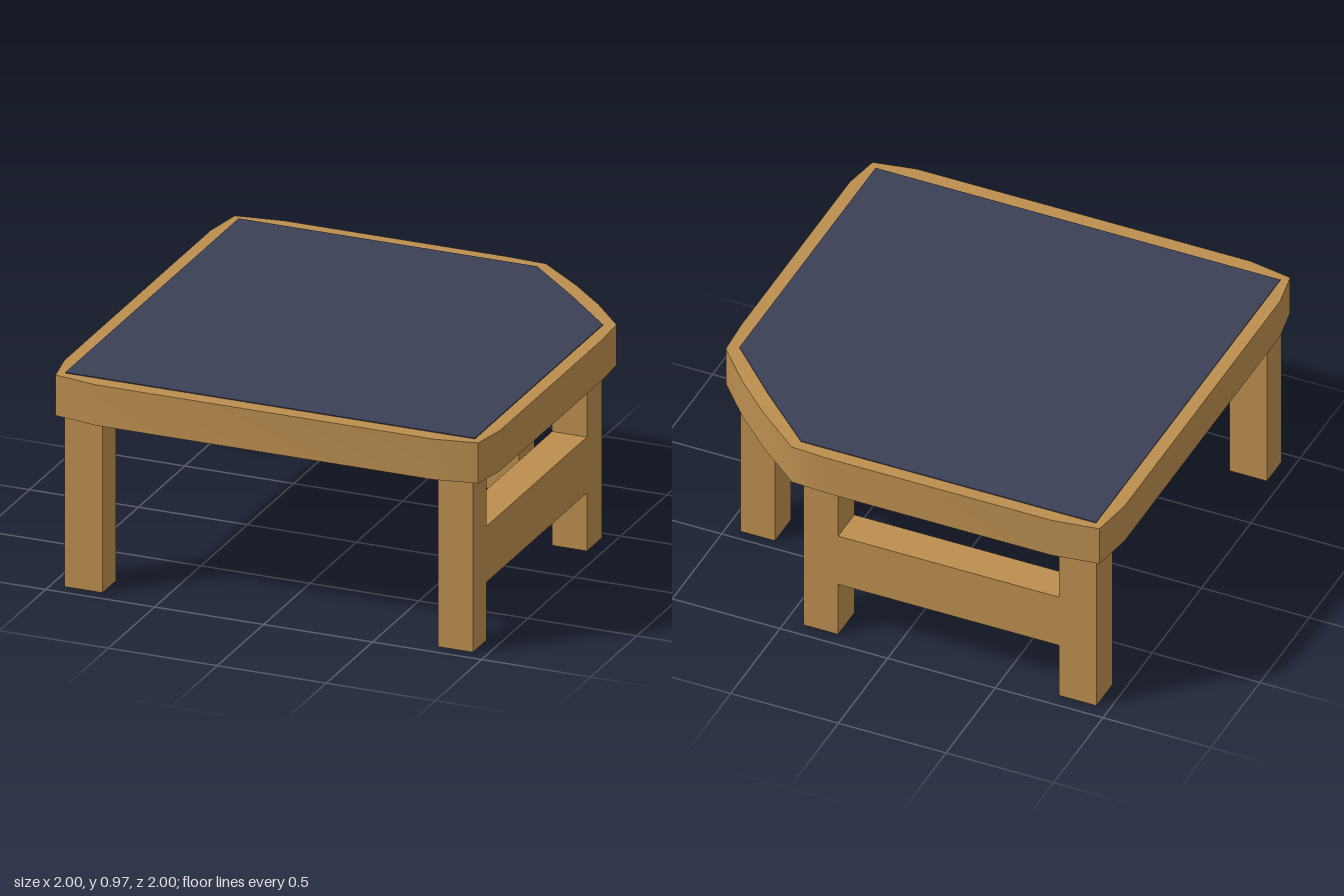
import * as THREE from 'three';
import { toCreasedNormals } from 'three/addons/utils/BufferGeometryUtils.js';

const TOP = 0.97, UNDER = 0.785;

// Slab with an outline in x, z, hanging down from height y
function slab(points, y, thickness) {
  const shape = new THREE.Shape(points.map(([x, z]) => new THREE.Vector2(x, z)));
  const geometry = new THREE.ExtrudeGeometry(shape, { depth: thickness, bevelEnabled: false });
  geometry.rotateX(Math.PI / 2);
  geometry.translate(0, y, 0);
  return toCreasedNormals(geometry, 0.87);
}

// Box given by its limits on each axis
function block([x0, x1], [y0, y1], [z0, z1]) {
  const geometry = new THREE.BoxGeometry(x1 - x0, y1 - y0, z1 - z0);
  geometry.translate((x0 + x1) / 2, (y0 + y1) / 2, (z0 + z1) / 2);
  return geometry;
}

export function createModel() {
  const group = new THREE.Group();
  const wood = new THREE.MeshStandardMaterial({ color: 0xbb8e4f });
  wood.name = 'wood';
  const navy = new THREE.MeshStandardMaterial({ color: 0x3b4056 });
  navy.name = 'navy';

  const add = (name, geometry, material) => {
    const mesh = new THREE.Mesh(geometry, material);
    mesh.name = name;
    group.add(mesh);
  };

  // Table top: softened corners and one bowed, cut-off corner
  add('tableTop', slab([
    [-1, -0.78], [-0.97, -0.97], [-0.76, -1], [0.28, -1], [0.45, -0.99],
    [0.66, -0.82], [0.83, -0.66], [0.99, -0.48], [1, -0.3],
    [1, 0.8], [0.97, 0.965], [0.78, 1], [-0.77, 1], [-0.97, 0.965], [-1, 0.8],
  ], TOP, TOP - UNDER), wood);

  // Inlaid surface
  add('inlay', slab([
    [-0.94, -0.94], [0.43, -0.94], [0.7, -0.69], [0.94, -0.45], [0.94, 0.93], [-0.94, 0.93],
  ], TOP + 0.004, 0.006), navy);

  // Five legs, two of them beside the cut corner
  const legs = {
    frontRightLeg: [[-0.94, -0.765], [0.795, 0.94]],
    frontLeftLeg: [[0.775, 0.935], [0.795, 0.94]],
    backRightLeg: [[-0.94, -0.765], [-0.935, -0.77]],
    backCutCornerLeg: [[0.26, 0.42], [-0.935, -0.77]],
    sideCutCornerLeg: [[0.775, 0.935], [-0.45, -0.29]],
  };
  for (const [name, [x, z]] of Object.entries(legs)) add(name, block(x, [0, UNDER], z), wood);

  // Rails flush with the legs
  const railHeight = [0.265, 0.52];
  add('backRail', block([-0.765, 0.26], railHeight, [-0.935, -0.77]), wood);
  add('sideRail', block([0.775, 0.935], railHeight, [-0.29, 0.795]), wood);

  return group;
}
